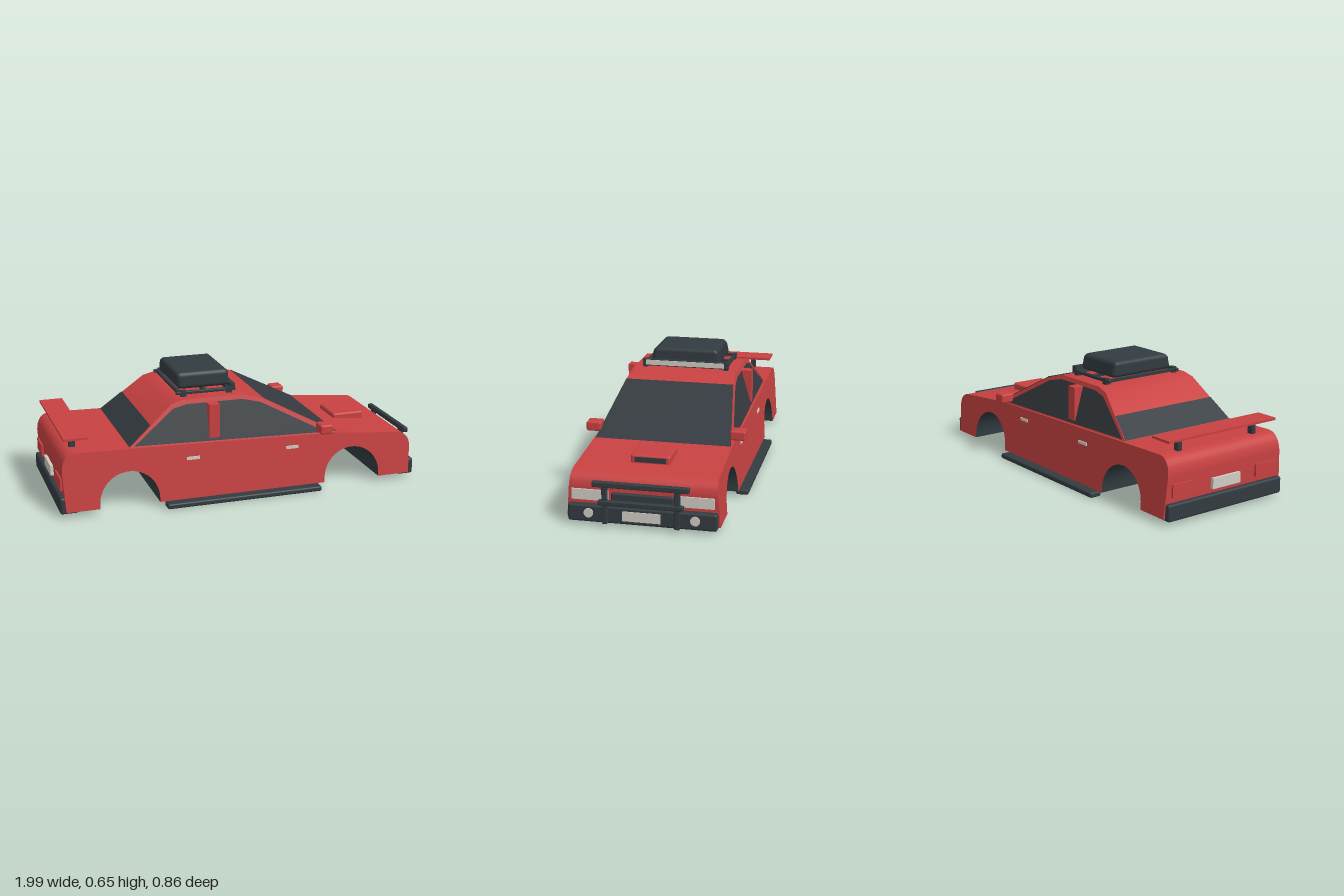
import * as THREE from 'three';
import { toCreasedNormals } from 'three/addons/utils/BufferGeometryUtils.js';
import { RoundedBoxGeometry } from 'three/addons/geometries/RoundedBoxGeometry.js';

const material = (name, color, side = THREE.FrontSide) => {
  const m = new THREE.MeshStandardMaterial({ color, side });
  m.name = name;
  return m;
};

export function createModel() {
  const car = new THREE.Group();
  car.name = 'car';
  const red = material('red paint', 0xc84141);
  const trim = material('dark trim', 0x323b40);
  const glass = material('dark glass', 0x343a3f, THREE.DoubleSide);
  const light = material('pale grey', 0xd0cdc4);

  const add = (name, geo, mat) => {
    const mesh = new THREE.Mesh(geo, mat);
    mesh.name = name;
    car.add(mesh);
    return mesh;
  };
  // Box from its ranges along x, y and z, with optional rounded edges
  const box = (name, mat, [x0, x1], [y0, y1], [z0, z1], r = 0) => {
    const size = [x1 - x0, y1 - y0, z1 - z0];
    const geo = r ? new RoundedBoxGeometry(...size, 3, r) : new THREE.BoxGeometry(...size);
    geo.translate((x0 + x1) / 2, (y0 + y1) / 2, (z0 + z1) / 2);
    return add(name, geo, mat);
  };
  // The same box on both sides
  const pair = (name, mat, xs, ys, [z0, z1], r) => {
    box(name + 'Left', mat, xs, ys, [z0, z1], r);
    box(name + 'Right', mat, xs, ys, [-z1, -z0], r);
  };
  // Side profile extruded across the car, its half width depending on height
  const taperedExtrude = (shape, halfWidth) => {
    const geo = new THREE.ExtrudeGeometry(shape, { depth: 2, bevelEnabled: false, curveSegments: 20 });
    geo.translate(0, 0, -1);
    const p = geo.attributes.position;
    for (let i = 0; i < p.count; i++) p.setZ(i, p.getZ(i) * halfWidth(p.getY(i)));
    return toCreasedNormals(geo, 0.5);
  };
  const bodyHalf = (y) => 0.383 - 0.078 * (y - 0.03);
  const cabinHalf = (y) => 0.355 - 0.29 * (y - 0.3);

  // Body with wheel arches
  const s = new THREE.Shape();
  s.moveTo(-0.965, 0.03);
  s.lineTo(-0.79, 0.03);
  for (const cx of [-0.632, 0.602]) {
    s.lineTo(cx - 0.158, 0.03);
    s.absarc(cx, 0.055, 0.158, Math.PI, 0, true);
    s.lineTo(cx + 0.158, 0.03);
  }
  s.lineTo(0.94, 0.03);
  s.lineTo(0.945, 0.18);
  s.quadraticCurveTo(0.945, 0.256, 0.87, 0.265);
  s.lineTo(0.5, 0.3);
  s.lineTo(-0.6, 0.329);
  s.lineTo(-0.9, 0.336);
  s.quadraticCurveTo(-0.975, 0.336, -0.978, 0.24);
  s.closePath();
  const body = taperedExtrude(s, bodyHalf);
  // Floor and arch linings are dark
  const start = body.groups[1].start;
  const bp = body.attributes.position;
  body.clearGroups();
  body.addGroup(0, start, 0);
  for (let i = start; i < bp.count; i += 3) {
    const x = (bp.getX(i) + bp.getX(i + 1) + bp.getX(i + 2)) / 3;
    const top = Math.max(bp.getY(i), bp.getY(i + 1), bp.getY(i + 2));
    const under = top < 0.031 || (top < 0.22 && x > -0.8 && x < 0.77);
    body.addGroup(i, 3, under ? 1 : 0);
  }
  add('body', body, [red, trim]);

  // Cabin
  const polygon = (pts) => new THREE.Shape(pts.map(([x, y]) => new THREE.Vector2(x, y)));
  const cabin = polygon([[-0.62, 0.3], [0.5, 0.28], [0.52, 0.297], [0.12, 0.507],
    [0, 0.54], [-0.32, 0.54], [-0.385, 0.523], [-0.62, 0.33]]);
  add('cabin', taperedExtrude(cabin, cabinHalf), red);

  // Side windows lie on the sloping cabin sides
  const windowShape = polygon([[-0.597, 0.336], [0.45, 0.308], [0.4, 0.337], [0.1, 0.494],
    [0, 0.518], [-0.3, 0.518], [-0.375, 0.502]]);
  for (const side of [1, -1]) {
    const geo = new THREE.ShapeGeometry(windowShape);
    const p = geo.attributes.position;
    for (let i = 0; i < p.count; i++) p.setZ(i, side * (cabinHalf(p.getY(i)) + 0.003));
    geo.computeVertexNormals();
    add(side > 0 ? 'sideWindowLeft' : 'sideWindowRight', geo, glass);
  }
  // Windscreen and rear window as full-width panes
  const pane = (name, [x0, y0], [x1, y1]) => {
    const a = cabinHalf(y0), b = cabinHalf(y1);
    const geo = new THREE.BufferGeometry();
    geo.setAttribute('position', new THREE.Float32BufferAttribute(
      [x0, y0, a, x0, y0, -a, x1, y1, -b, x1, y1, b], 3));
    geo.setIndex([0, 1, 2, 0, 2, 3]);
    geo.computeVertexNormals();
    add(name, geo, glass);
  };
  pane('windscreen', [0.522, 0.3], [0.122, 0.51]);
  pane('rearWindow', [-0.503, 0.43], [-0.622, 0.333]);

  // Side details
  pair('doorPillar', red, [-0.195, -0.14], [0.34, 0.519], [0.28, 0.35]);
  pair('mirror', red, [0.4, 0.472], [0.315, 0.366], [0.34, 0.42], 0.01);
  pair('sideSkirt', trim, [-0.445, 0.41], [0, 0.028], [0.365, 0.43], 0.009);
  for (const x of [-0.29, 0.258]) {
    pair('doorHandle', light, [x - 0.035, x + 0.035], [0.239, 0.255], [0.355, 0.372]);
  }

  // Bumpers, lamps, grille and plates
  box('frontBumper', trim, [0.88, 0.973], [0.018, 0.106], [-0.372, 0.372], 0.012);
  box('rearBumper', trim, [-0.994, -0.9], [0.018, 0.106], [-0.372, 0.372], 0.012);
  box('grille', trim, [0.92, 0.962], [0.11, 0.172], [-0.155, 0.155], 0.008);
  pair('headlight', light, [0.93, 0.953], [0.125, 0.179], [0.17, 0.355]);
  box('frontPlate', light, [0.965, 0.977], [0.038, 0.088], [-0.095, 0.095]);
  box('rearPlate', light, [-0.99, -0.96], [0.13, 0.185], [-0.09, 0.09]);
  pair('tailLight', red, [-0.985, -0.95], [0.135, 0.2], [0.2, 0.34]);
  for (const z of [-0.265, 0.265]) {
    const lamp = add('fogLamp', new THREE.CylinderGeometry(0.024, 0.024, 0.02, 24), light);
    lamp.rotation.z = Math.PI / 2;
    lamp.position.set(0.968, 0.067, z);
  }

  // Bull bar
  box('bullBarTop', trim, [0.973, 1], [0.211, 0.239], [-0.24, 0.24], 0.006);
  box('bullBarLower', trim, [0.973, 1], [0.118, 0.144], [-0.212, 0.212], 0.006);
  pair('bullBarUpright', trim, [0.971, 0.997], [0.022, 0.235], [0.166, 0.193], 0.006);

  // Bonnet scoop with its dark mouth
  box('bonnetScoop', red, [0.605, 0.785], [0.262, 0.315], [-0.1, 0.1], 0.012);
  box('scoopMouth', trim, [0.77, 0.788], [0.278, 0.304], [-0.08, 0.08]);

  // Rear wing
  box('rearWing', red, [-0.96, -0.835], [0.4, 0.412], [-0.35, 0.35]);
  pair('wingPost', trim, [-0.915, -0.885], [0.325, 0.401], [0.23, 0.255]);

  // Roof rack with lamp bar
  pair('rackRail', trim, [-0.34, -0.015], [0.551, 0.568], [0.216, 0.234], 0.004);
  for (const x of [-0.32, -0.18, -0.05]) {
    box('rackCrossbar', trim, [x - 0.01, x + 0.01], [0.553, 0.567], [-0.225, 0.225]);
  }
  for (const x of [-0.3, -0.05]) {
    pair('rackFoot', trim, [x - 0.015, x + 0.015], [0.51, 0.572], [0.212, 0.236]);
  }
  box('lampBar', trim, [-0.045, -0.018], [0.552, 0.588], [-0.235, 0.235]);
  box('lampBarLens', light, [-0.02, -0.014], [0.557, 0.584], [-0.217, 0.217]);

  // Cargo box with sloping upper edges
  const cargo = box('cargoBox', trim, [-0.32, -0.035], [0.566, 0.652], [-0.192, 0.192], 0.022);
  const cp = cargo.geometry.attributes.position;
  for (let i = 0; i < cp.count; i++) {
    const k = 1 - 0.1 * Math.max(0, (cp.getY(i) - 0.61) / 0.042);
    cp.setZ(i, cp.getZ(i) * k);
  }
  return car;
}
